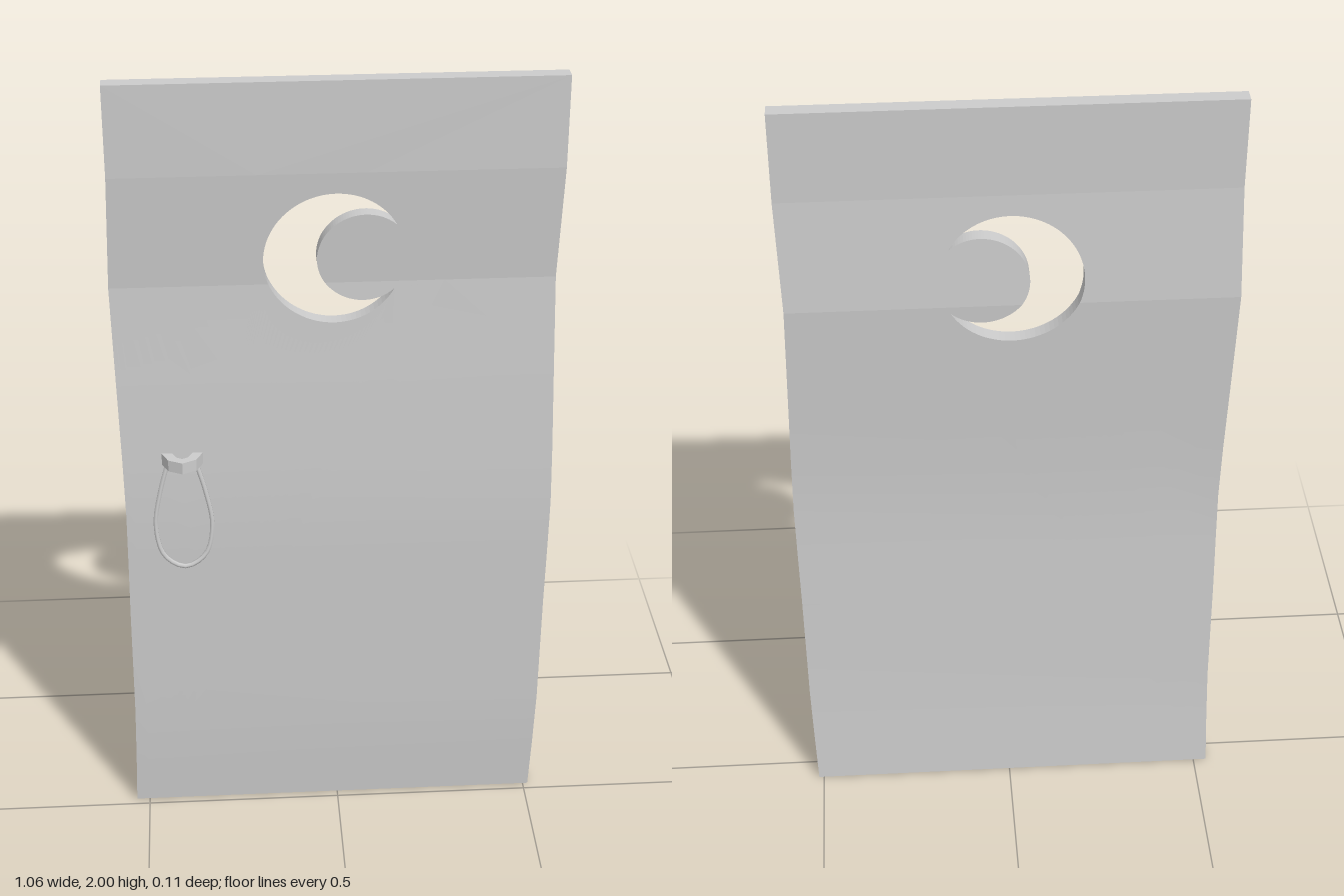
import * as THREE from 'three';
import { toCreasedNormals } from 'three/addons/utils/BufferGeometryUtils.js';

const material = new THREE.MeshStandardMaterial({ color: 0xcccccc });

// Warp of the board: [height, depth of the front face]
const WARP = [[0, -0.021], [0.15, -0.011], [0.3, -0.003], [0.6, 0.001], [0.75, 0.005], [0.9, 0.008],
  [1.05, 0.003], [1.25, -0.007], [1.5, -0.019], [1.78, -0.002], [2, -0.002]];

function warpAt(y) {
  let i = 1;
  while (i < WARP.length - 1 && y > WARP[i][0]) i++;
  const [y0, z0] = WARP[i - 1], [y1, z1] = WARP[i];
  return THREE.MathUtils.mapLinear(y, y0, y1, z0, z1);
}

// Part of a polygon on one side of a height (side 1 = above, -1 = below)
function clip(poly, y, side) {
  const out = [];
  poly.forEach((p, i) => {
    const q = poly[(i + 1) % poly.length];
    const dp = (p.y - y) * side, dq = (q.y - y) * side;
    if (dp >= 0) out.push(p);
    if (dp * dq < 0) {
      // always interpolate upwards so that neighbours share the same point
      const [a, b] = p.y < q.y ? [p, q] : [q, p];
      const point = a.clone().lerp(b, (y - a.y) / (b.y - a.y));
      point.y = y;
      out.push(point);
    }
  });
  return out;
}

// Cut all triangles along a horizontal plane
function splitAt(triangles, y) {
  const out = [];
  for (const tri of triangles) {
    if (tri.every(p => p.y <= y) || tri.every(p => p.y >= y)) { out.push(tri); continue; }
    for (const side of [1, -1]) {
      const poly = clip(tri, y, side);
      for (let i = 2; i < poly.length; i++) out.push([poly[0], poly[i - 1], poly[i]]);
    }
  }
  return out;
}

function createPanel() {
  const halfWidth = 0.5235, thickness = 0.037;
  const shape = new THREE.Shape();
  shape.moveTo(-halfWidth, 0);
  shape.lineTo(halfWidth, 0);
  shape.lineTo(halfWidth, 2);
  shape.lineTo(-halfWidth, 2);
  shape.closePath();

  // Crescent window: a large circle minus a smaller one to its right
  const R = 0.165, r = 0.11, c = 0.07, cy = 1.564;
  const tipX = (R * R - r * r + c * c) / (2 * c);
  const tipY = Math.sqrt(R * R - tipX * tipX);
  const a = Math.atan2(tipY, tipX), b = Math.atan2(tipY, tipX - c);
  const moon = new THREE.Path();
  moon.absarc(0, cy, R, a, Math.PI * 2 - a, false);
  moon.absarc(c, cy, r, -b, b, true);
  shape.holes.push(moon);

  const flat = new THREE.ExtrudeGeometry(shape, { depth: thickness, bevelEnabled: false, curveSegments: 36 });
  const pos = flat.attributes.position;
  let triangles = [];
  for (let i = 0; i < pos.count; i += 3) {
    triangles.push([0, 1, 2].map(k => new THREE.Vector3().fromBufferAttribute(pos, i + k)));
  }
  for (const [y] of WARP.slice(1, -1)) triangles = splitAt(triangles, y);

  // Bend the rows backwards and forwards, with a slight sideways sway
  const points = triangles.flat().map(p => {
    const w = warpAt(p.y);
    return new THREE.Vector3(p.x + w * 0.5, p.y, p.z - thickness + w);
  });
  const geometry = new THREE.BufferGeometry().setFromPoints(points);
  return toCreasedNormals(geometry, 0.06);
}

// Open arch that holds the pull loop
function createBracket() {
  const half = [[0.052, -0.002], [0.034, 0.037], [0, 0.054]];
  const inner = [[0, 0.032], [0.014, 0.024], [0.027, -0.002]];
  const mirror = list => list.map(([x, z]) => [-x, z]).reverse();
  const outline = [...half, ...mirror(half).slice(1), ...mirror(inner).slice(0, 2), ...inner];
  const shape = new THREE.Shape(outline.map(([x, z]) => new THREE.Vector2(x, -z)));
  const geometry = new THREE.ExtrudeGeometry(shape, { depth: 0.03, bevelEnabled: false });
  return geometry.rotateX(-Math.PI / 2);
}

// Teardrop loop hanging from the bracket
function createLoop() {
  const side = [[0.033, 1.05, 0.012], [0.055, 0.97, 0.02], [0.069, 0.88, 0.029], [0.05, 0.80, 0.038]];
  const points = [...side, [0, 0.77, 0.042], ...side.map(([x, y, z]) => [-x, y, z]).reverse()];
  const curve = new THREE.CatmullRomCurve3(points.map(p => new THREE.Vector3(...p)));
  return new THREE.TubeGeometry(curve, 36, 0.006, 6);
}

export function createModel() {
  const model = new THREE.Group();
  model.name = 'door';
  const add = (name, geometry, x = 0, y = 0, z = 0) => {
    const mesh = new THREE.Mesh(geometry, material);
    mesh.name = name;
    mesh.position.set(x, y, z);
    model.add(mesh);
  };
  add('doorPanel', createPanel());
  add('handleBracket', createBracket(), -0.377, 1.038, 0);
  add('handleLoop', createLoop(), -0.379, 0, 0);
  return model;
}
